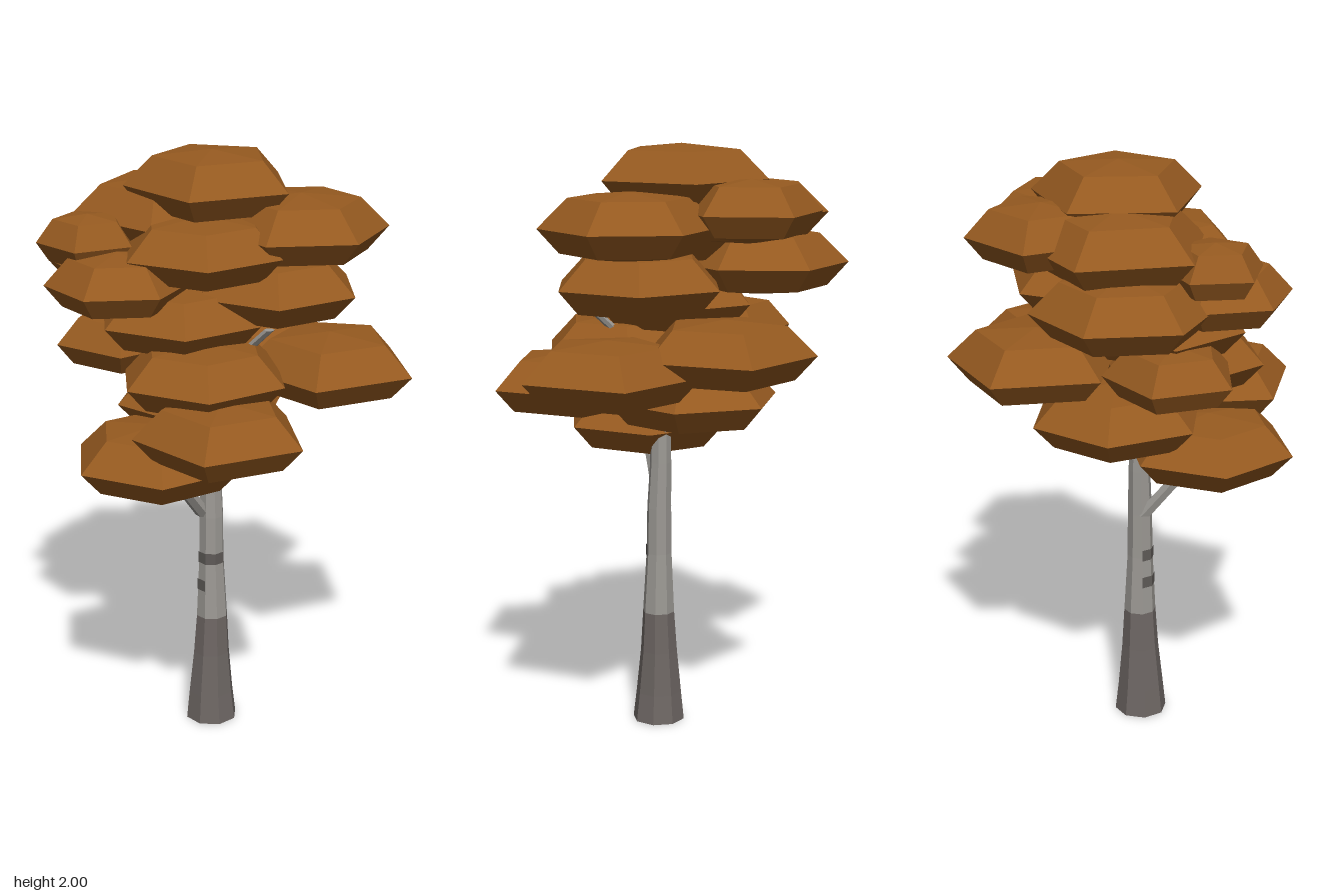
import * as THREE from 'three';

const mat = (name, color) => Object.assign(new THREE.MeshStandardMaterial({ color }), { name });

// Split faces so every facet is shaded flat
function flat(geometry) {
  const g = geometry.index ? geometry.toNonIndexed() : geometry;
  g.computeVertexNormals();
  return g;
}

// Faceted tube through horizontal rings [y, x, z, radius], listed from bottom to top
function loft(rings, sides) {
  const last = rings.length - 1;
  const g = new THREE.CylinderGeometry(1, 1, 1, sides, last);
  const p = g.attributes.position;
  for (let i = 0; i < p.count; i++) {
    const [y, x, z, r] = rings[Math.round((p.getY(i) + 0.5) * last)];
    p.setXYZ(i, x + p.getX(i) * r, y, z + p.getZ(i) * r);
  }
  return flat(g);
}

// Flattened leaf clump; angle turns the first corner from +x towards +z
function clump(radius, sides, angle) {
  const profile = [[0, -0.108], [0.76, -0.078], [1, 0], [0.67, 0.096], [0, 0.115]]
    .map(([r, y]) => new THREE.Vector2(r * radius, y * (0.5 + radius / 0.58)));
  return flat(new THREE.LatheGeometry(profile, sides, Math.PI / 2 - THREE.MathUtils.degToRad(angle)));
}

export function createModel() {
  const leaf = mat('autumn leaves', 0x965a20);
  const bark = mat('pale bark', 0x9c9994);
  const darkBark = mat('dark bark', 0x6e6764);
  const scar = mat('bark scar', 0x5f5b58);

  const tree = new THREE.Group();
  tree.name = 'tree';
  const add = (name, geometry, material, parent = tree) => {
    const mesh = new THREE.Mesh(geometry, material);
    mesh.name = name;
    parent.add(mesh);
    return mesh;
  };

  // Flared foot and slender upper trunk
  add('trunkBase', loft([
    [0, -0.014, 0.033, 0.09], [0.1, -0.015, 0.033, 0.079],
    [0.25, -0.014, 0.031, 0.064], [0.39, -0.012, 0.03, 0.055],
  ], 8), darkBark);
  add('trunk', loft([
    [0.39, -0.012, 0.03, 0.055], [0.6, -0.014, 0.03, 0.044], [0.76, -0.014, 0.029, 0.042],
    [0.92, -0.018, 0.026, 0.037], [1.3, -0.02, 0.03, 0.03], [1.75, -0.02, 0.02, 0.015],
  ], 8), bark);

  // Branches reaching into the crown
  add('frontBranch', loft([[0.76, -0.035, 0.04, 0.03], [1.02, -0.1, 0.24, 0.026]], 6), bark);
  add('rightBranch', loft([[1.24, -0.01, 0.03, 0.022], [1.46, 0.22, 0.08, 0.018]], 6), bark);

  // Thin scars wrapped on the bark: y, height, radius, facets
  [[0.61, 0.04, 0.0465, 4], [0.51, 0.04, 0.0515, 2]].forEach(([y, h, r, n]) => {
    const step = Math.PI / 4;
    const g = new THREE.CylinderGeometry(r, r, h, n, 1, true, -2 * step, n * step);
    add('barkScar', flat(g), scar).position.set(-0.014, y, 0.03);
  });

  // Leaf clumps: x, y, z, radius, sides, angle
  const crown = new THREE.Group();
  crown.name = 'crown';
  tree.add(crown);
  [
    [-0.05, 1.885, -0.05, 0.29, 5, 6],
    [-0.245, 1.77, -0.08, 0.312, 5, 70],
    [-0.147, 1.79, -0.31, 0.242, 5, 56],
    [0.22, 1.745, -0.16, 0.295, 6, 28],
    [-0.02, 1.695, 0.08, 0.285, 6, 0],
    [-0.375, 1.715, 0.2, 0.168, 5, 147],
    [-0.24, 1.6, 0.245, 0.24, 6, 28],
    [-0.35, 1.595, -0.08, 0.3, 6, 33],
    [0.15, 1.55, -0.105, 0.295, 6, 2],
    [-0.1, 1.465, 0.08, 0.29, 6, 0],
    [-0.32, 1.36, 0.08, 0.225, 5, 135],
    [0.03, 1.305, 0.175, 0.29, 6, 0],
    [-0.04, 1.335, -0.32, 0.3, 5, 72],
    [0.32, 1.28, -0.185, 0.302, 5, 3],
    [0.165, 1.165, 0.315, 0.288, 5, 3],
    [-0.09, 1.15, -0.06, 0.3, 6, 15],
    [-0.1, 1.025, 0.245, 0.295, 6, 0],
  ].forEach(([x, y, z, r, sides, angle]) => {
    add('leafClump', clump(r, sides, angle), leaf, crown).position.set(x, y, z);
  });

  return tree;
}
